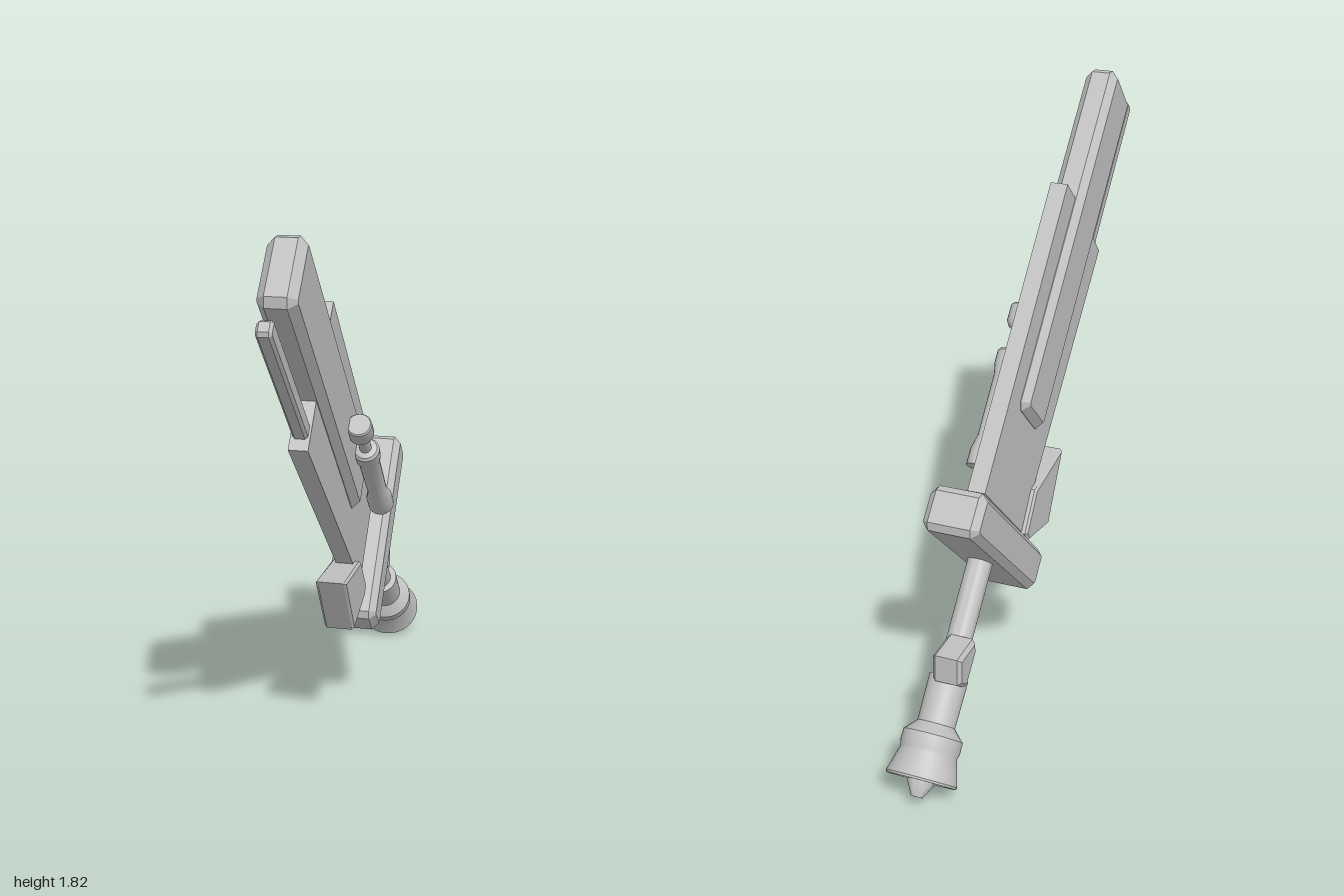
import * as THREE from 'three';
import { toCreasedNormals } from 'three/addons/utils/BufferGeometryUtils.js';

const TILT = 0.795; // lean of the blade from vertical towards the front
const YAW = 0.106;  // slight turn about the vertical

export function createModel() {
  const metal = new THREE.MeshStandardMaterial({ color: 0xc0c0c0 });
  metal.name = 'plain grey';
  const model = new THREE.Group();
  model.name = 'sword';
  model.rotation.y = YAW;
  model.position.x = 0.03;

  const add = (name, geometry) => {
    const mesh = new THREE.Mesh(geometry, metal);
    mesh.name = name;
    model.add(mesh);
    return mesh;
  };

  // Plate with a [z, y] outline, given thickness along x and chamfered rims
  const plate = (name, outline, thickness, bevel = 0, x = 0) => {
    const shape = new THREE.Shape(outline.map(([z, y]) => new THREE.Vector2(z, y)));
    const depth = thickness - 2 * bevel;
    const g = new THREE.ExtrudeGeometry(shape, {
      depth, bevelEnabled: bevel > 0, bevelSize: bevel, bevelThickness: bevel,
      bevelOffset: -bevel, bevelSegments: 1,
    });
    g.translate(0, 0, -depth / 2);
    g.rotateY(-Math.PI / 2);
    g.translate(x, 0, 0);
    return add(name, g);
  };

  // Bar aligned with the blade: length along it, width across, corners cut
  const bar = (name, [cz, cy], length, width, thickness, bevel, cut) => {
    const s = Math.sin(TILT), c = Math.cos(TILT);
    const l = length / 2, w = width / 2;
    const outline = [
      [l - cut, w], [l, w - cut], [l, cut - w], [l - cut, -w],
      [cut - l, -w], [-l, cut - w], [-l, w - cut], [cut - l, w],
    ].map(([a, b]) => [cz + a * s - b * c, cy + a * c + b * s]);
    return plate(name, outline, thickness, bevel);
  };

  // Turned part: [radius, distance down the axis] from a start point
  const turned = (name, [x, y, z], profile, sides) => {
    const points = profile.map(([r, t]) => new THREE.Vector2(r, -t)).reverse();
    const mesh = add(name, toCreasedNormals(new THREE.LatheGeometry(points, sides), 0.6));
    mesh.position.set(x, y, z);
    mesh.rotation.x = TILT;
    return mesh;
  };

  // Blade: thick core, stepped plate around it, thin rod along the front
  bar('bladeCore', [0.356, 1.324], 1.235, 0.227, 0.11, 0.024, 0.022);
  plate('bladePlate', [
    [0.286, 1.564], [-0.452, 0.821], [-0.147, 0.505],
    [0.628, 1.211], [0.527, 1.318], [0.366, 1.489],
  ], 0.058);
  bar('frontRod', [0.767, 1.433], 0.59, 0.05, 0.045, 0.008, 0.01);

  // Guard and the wedge in front of it
  bar('guard', [-0.382, 0.607], 0.14, 0.703, 0.18, 0.022, 0.02);
  plate('wedge', [
    [0.2, 0.64], [-0.056, 0.618], [-0.15, 0.5], [-0.13, 0.465], [0.06, 0.42],
  ], 0.1, 0.008);

  // Grip, collar, flared pommel and end nub
  turned('gripAndPommel', [0, 0.607, -0.382], [
    [0, 0], [0.04, 0], [0.04, 0.44], [0.061, 0.44], [0.059, 0.585],
    [0.093, 0.62], [0.093, 0.655], [0.088, 0.67], [0.111, 0.75], [0.108, 0.757],
    [0.094, 0.757], [0.088, 0.745], [0.042, 0.745], [0.04, 0.765], [0.018, 0.805], [0, 0.805],
  ], 32);

  // Trigger block behind the grip
  plate('trigger', [
    [-0.635, 0.415], [-0.757, 0.42], [-0.762, 0.33], [-0.715, 0.29], [-0.63, 0.37],
  ], 0.095, 0.012, -0.02);

  // Small turned handle on the left face
  turned('sideHandle', [0.085, 1.163, 0.179], [
    [0, 0], [0.036, 0], [0.04, 0.005], [0.04, 0.06], [0.032, 0.075], [0.019, 0.085],
    [0.019, 0.155], [0.036, 0.16], [0.043, 0.17], [0.042, 0.21], [0.034, 0.25],
    [0.032, 0.46], [0.043, 0.51], [0.043, 0.565], [0, 0.568],
  ], 20);

  const root = new THREE.Group();
  root.name = 'model';
  root.add(model);
  return root;
}
